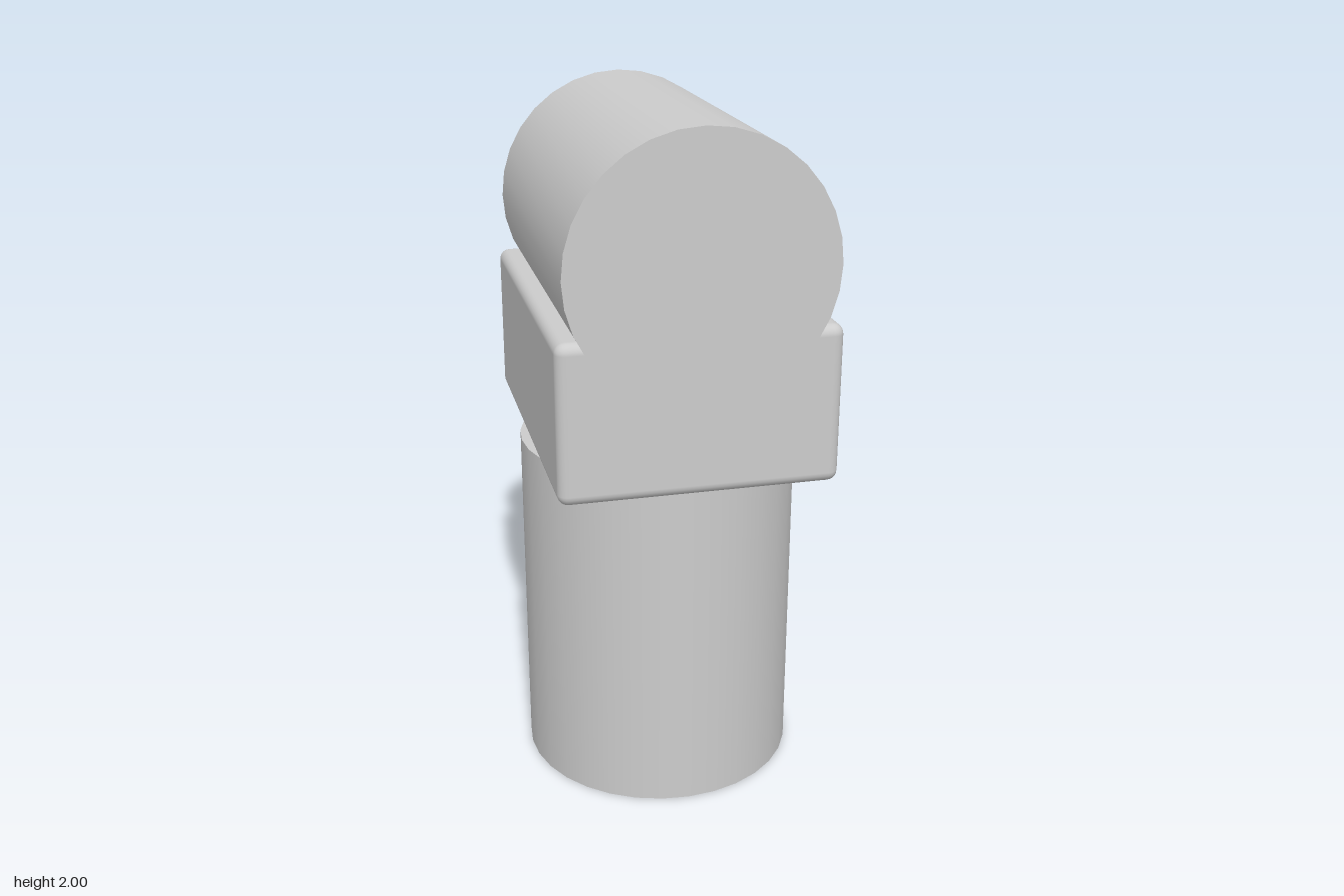
import * as THREE from 'three';
import { RoundedBoxGeometry } from 'three/addons/geometries/RoundedBoxGeometry.js';

export function createModel() {
  const model = new THREE.Group();
  model.name = 'model';
  const grey = new THREE.MeshStandardMaterial({ name: 'grey', color: 0xcccccc });

  const add = (name, geometry, y) => {
    const mesh = new THREE.Mesh(geometry, grey);
    mesh.name = name;
    mesh.position.y = y;
    model.add(mesh);
    return mesh;
  };

  // Upright round post
  add('post', new THREE.CylinderGeometry(0.405, 0.405, 1.025, 32), 0.5125);

  // Block with softened edges
  add('block', new RoundedBoxGeometry(0.77, 0.445, 1.016, 3, 0.03), 1.2475);

  // Round bar lying front to back, sunk into the block
  const bar = add('bar', new THREE.CylinderGeometry(0.366, 0.366, 1.02, 32), 1.634);
  bar.rotation.x = Math.PI / 2;

  return model;
}
